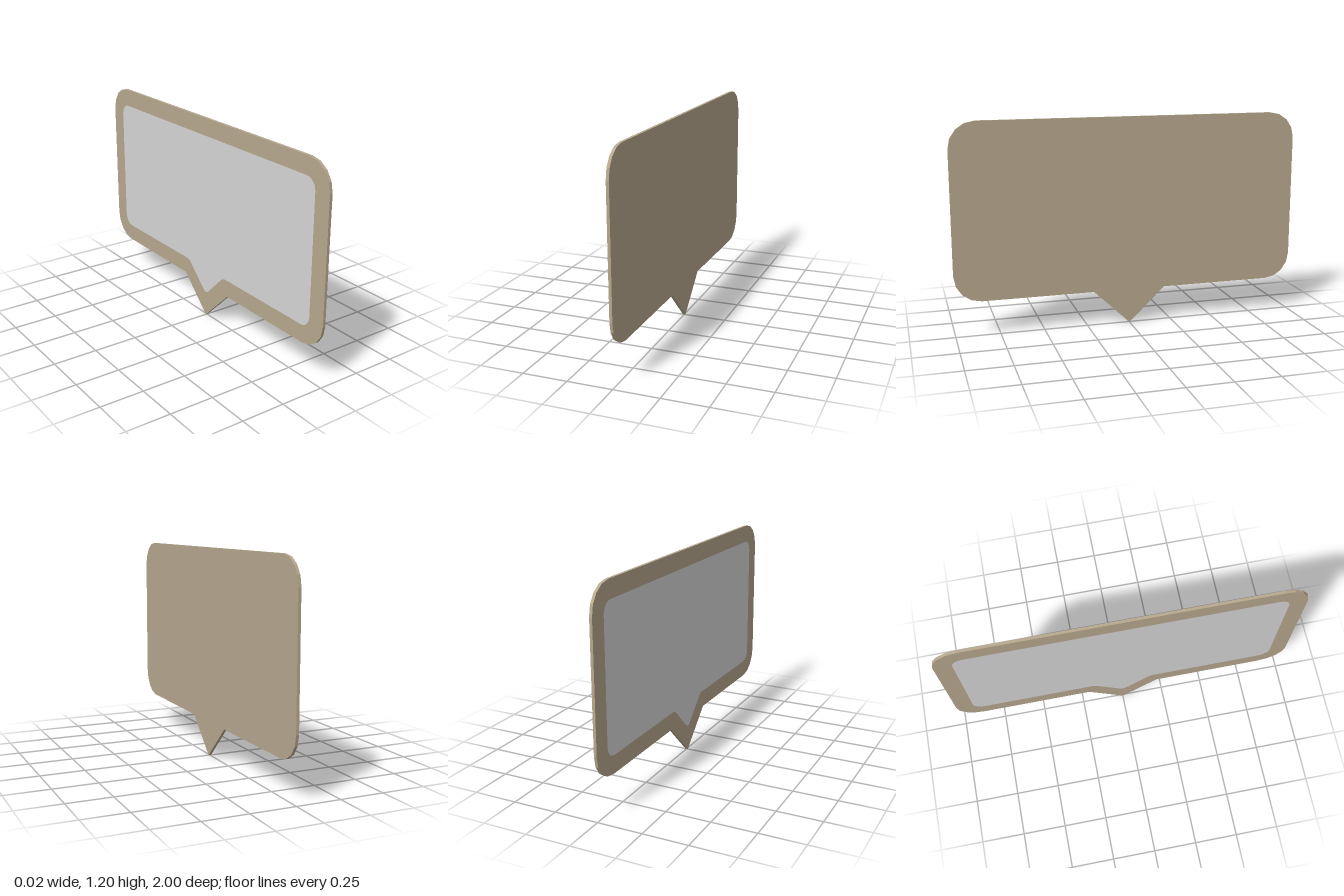
import * as THREE from 'three';

const THICKNESS = 0.016;

// Closed outline from corners [u, v, radius]; a radius rounds the corner with an arc
function roundedOutline(corners, segments) {
  const points = [];
  corners.forEach(([u, v, r], i) => {
    const p = new THREE.Vector2(u, v);
    if (!r) {
      points.push(p);
      return;
    }
    const n = corners.length;
    const before = corners[(i + n - 1) % n];
    const after = corners[(i + 1) % n];
    const a = new THREE.Vector2(before[0] - u, before[1] - v).normalize();
    const b = new THREE.Vector2(after[0] - u, after[1] - v).normalize();
    const half = Math.acos(a.dot(b)) / 2;
    const t = r / Math.tan(half);
    const centre = a.clone().add(b).normalize().multiplyScalar(r / Math.sin(half)).add(p);
    const start = p.clone().addScaledVector(a, t).sub(centre).angle();
    const end = p.clone().addScaledVector(b, t).sub(centre).angle();
    const sweep = Math.atan2(Math.sin(end - start), Math.cos(end - start));
    for (let k = 0; k <= segments; k++) {
      const angle = start + (sweep * k) / segments;
      points.push(new THREE.Vector2(centre.x + r * Math.cos(angle), centre.y + r * Math.sin(angle)));
    }
  });
  return new THREE.Shape(points);
}

// Rounded rectangle with a pointer at the middle of its bottom edge
function bubble({ half, bottom, top, corner, shoulder, tip, shoulderRadius, tipRadius, segments }) {
  return roundedOutline([
    [-half, bottom, corner],
    [-shoulder, bottom, shoulderRadius],
    [0, tip, tipRadius],
    [shoulder, bottom, shoulderRadius],
    [half, bottom, corner],
    [half, top, corner],
    [-half, top, corner],
  ], segments);
}

export function createModel() {
  const model = new THREE.Group();
  model.name = 'speechBubbleSign';

  const tan = new THREE.MeshStandardMaterial({ color: 0xb8a88f });
  tan.name = 'tan board';
  const grey = new THREE.MeshStandardMaterial({ color: 0xd6d6d6 });
  grey.name = 'light grey panel';

  // Board: outline in the z-y plane, thin along x
  const boardGeometry = new THREE.ExtrudeGeometry(bubble({
    half: 1, bottom: 0.2, top: 1.2, corner: 0.15,
    shoulder: 0.21, tip: 0, shoulderRadius: 0, tipRadius: 0, segments: 4,
  }), { depth: THICKNESS, bevelEnabled: false });
  boardGeometry.translate(0, 0, -THICKNESS / 2);
  boardGeometry.rotateY(-Math.PI / 2);
  const board = new THREE.Mesh(boardGeometry, tan);
  board.name = 'board';
  model.add(board);

  // Inset writing panel on the -x face
  const panelGeometry = new THREE.ShapeGeometry(bubble({
    half: 0.9, bottom: 0.3, top: 1.1, corner: 0.065,
    shoulder: 0.17, tip: 0.138, shoulderRadius: 0.05, tipRadius: 0.03, segments: 6,
  }));
  panelGeometry.translate(0, 0, THICKNESS / 2 + 0.001);
  panelGeometry.rotateY(-Math.PI / 2);
  const panel = new THREE.Mesh(panelGeometry, grey);
  panel.name = 'writingPanel';
  model.add(panel);

  return model;
}
